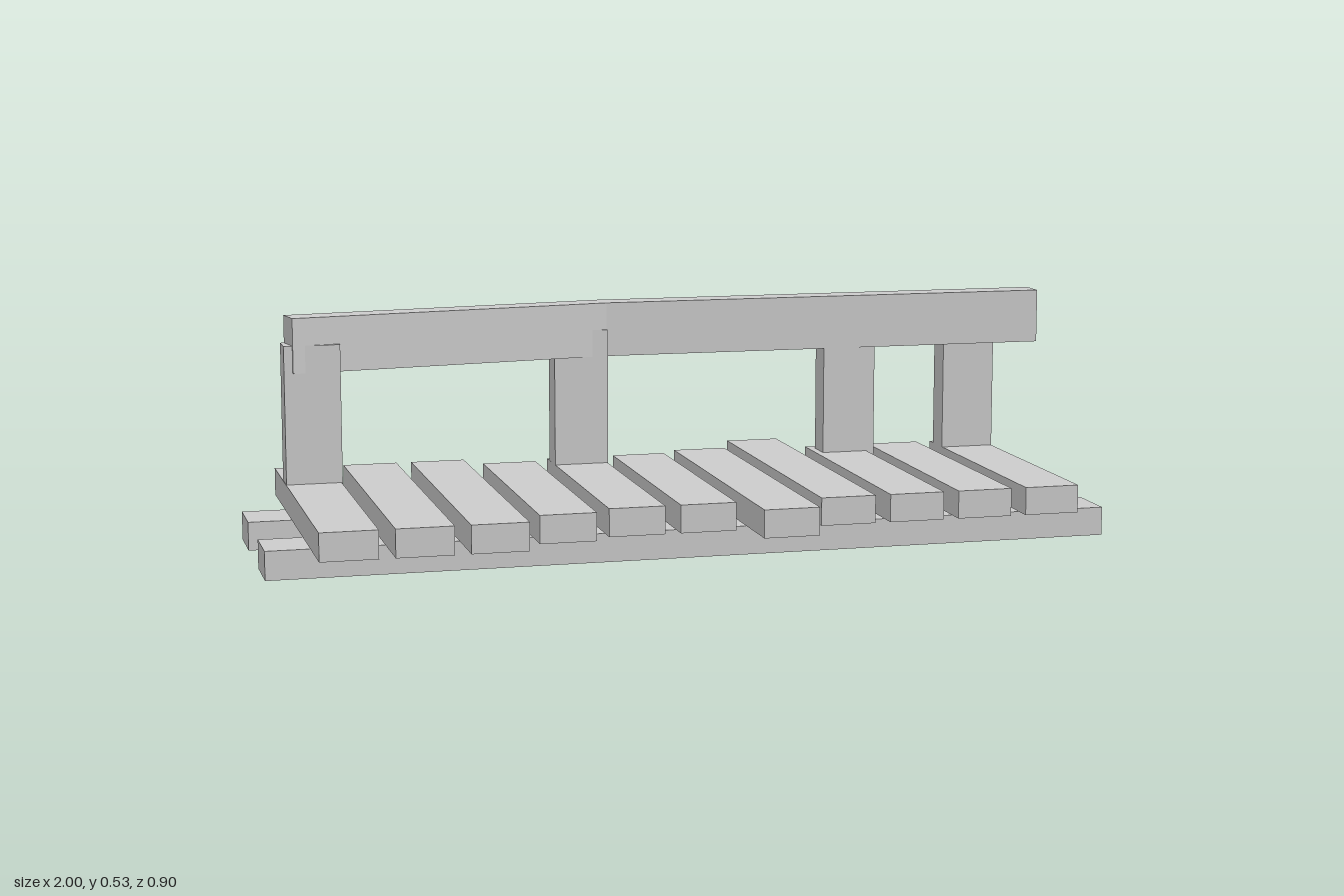
import * as THREE from 'three';

const material = new THREE.MeshStandardMaterial({ color: 0xcccccc, flatShading: true });

// Box given by its extents along each axis
function block(name, [x0, x1], [y0, y1], [z0, z1]) {
  const mesh = new THREE.Mesh(new THREE.BoxGeometry(x1 - x0, y1 - y0, z1 - z0), material);
  mesh.position.set((x0 + x1) / 2, (y0 + y1) / 2, (z0 + z1) / 2);
  mesh.name = name;
  return mesh;
}

export function createModel() {
  const model = new THREE.Group();
  model.name = 'plankWalkway';

  // Two long beams under the deck
  for (const [name, z] of [['backBeam', -0.149], ['frontBeam', 0.184]]) {
    model.add(block(name, [-1, 0.99], [0, 0.067], [z - 0.066, z + 0.066]));
  }

  // Deck planks of uneven length: back and front ends
  const long = [-0.35, 0.447], short = [-0.315, 0.345];
  const ends = [long, long, long, [-0.285, 0.38], short, short, long, [-0.449, 0.345], short, short, short];
  const deck = new THREE.Group();
  deck.name = 'deck';
  ends.forEach((z, i) => {
    const x = -0.84 + i * 0.1662;
    deck.add(block('plank' + (i + 1), [x - 0.065, x + 0.065], [0.078, 0.143], z));
  });
  model.add(deck);

  // Rail posts, tops let into the handrail; the right end post stands further forward
  const posts = new THREE.Group();
  posts.name = 'posts';
  [[-0.838, -0.156], [-0.174, -0.254], [0.508, -0.254], [0.822, -0.254]].forEach(([x, z], i) => {
    posts.add(block('post' + (i + 1), [x - 0.066, x + 0.066], [0.1, 0.47], [z - 0.033, z + 0.033]));
  });
  model.add(posts);

  // Handrail: bent outline in plan (x, -z), extruded upward
  const outline = [[-0.895, 0.188], [-0.883, 0.119], [-0.11, 0.226], [1, 0.211], [1, 0.279], [-0.115, 0.293]];
  // Front edge is listed first, then the back edge
  const order = [1, 2, 3, 4, 5, 0];
  const shape = new THREE.Shape(order.map((i) => new THREE.Vector2(...outline[i])));
  const railGeometry = new THREE.ExtrudeGeometry(shape, { depth: 0.13, bevelEnabled: false });
  railGeometry.rotateX(-Math.PI / 2);
  const rail = new THREE.Mesh(railGeometry, material);
  rail.position.y = 0.405;
  rail.name = 'handrail';
  model.add(rail);

  return model;
}
